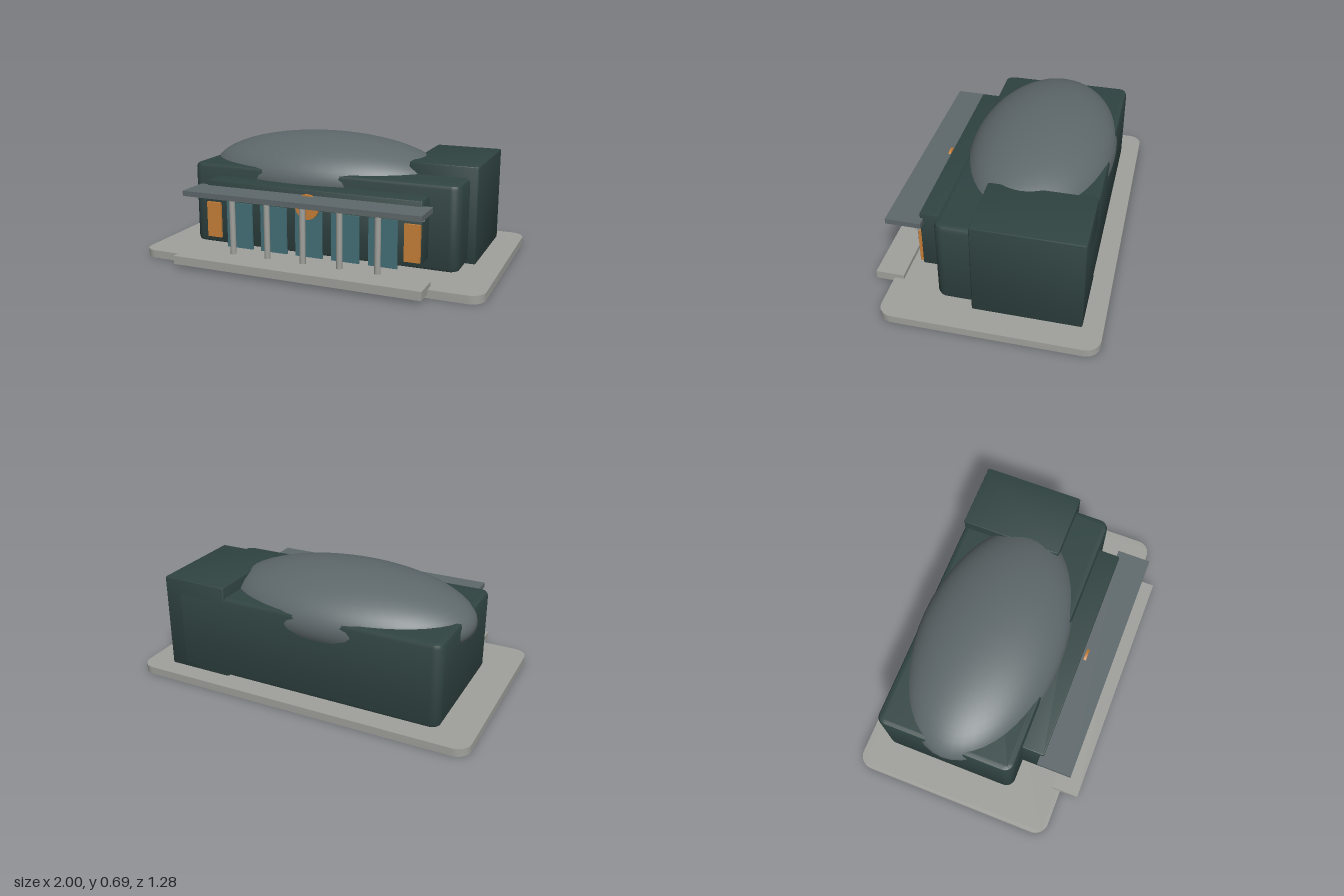
import * as THREE from 'three';
import { toCreasedNormals } from 'three/addons/utils/BufferGeometryUtils.js';

const material = (name, color) => {
  const m = new THREE.MeshStandardMaterial({ color });
  m.name = name;
  return m;
};

export function createModel() {
  const group = new THREE.Group();
  group.name = 'domedHall';
  const wall = material('dark green wall', 0x304442);
  const roof = material('slate roof', 0x5e686b);
  const stone = material('pale stone', 0xa0a09c);
  const glass = material('teal glass', 0x447078);
  const copper = material('orange copper', 0xc67f38);

  const add = (name, geometry, mat) => {
    const mesh = new THREE.Mesh(geometry, mat);
    mesh.name = name;
    group.add(mesh);
    return mesh;
  };

  // Box given by its extents on each axis
  const box = (name, mat, [x0, x1], [y0, y1], [z0, z1]) =>
    add(name, new THREE.BoxGeometry(x1 - x0, y1 - y0, z1 - z0), mat)
      .position.set((x0 + x1) / 2, (y0 + y1) / 2, (z0 + z1) / 2);

  // Block with rounded upright corners and optional bevelled top and bottom rims
  const block = (name, mat, [x0, x1], [y0, y1], [z0, z1], radius, bevel) => {
    const w = (x1 - x0) / 2 - bevel, d = (z1 - z0) / 2 - bevel, r = radius;
    const s = new THREE.Shape();
    s.absarc(w - r, d - r, r, 0, Math.PI / 2);
    s.absarc(r - w, d - r, r, Math.PI / 2, Math.PI);
    s.absarc(r - w, r - d, r, Math.PI, Math.PI * 1.5);
    s.absarc(w - r, r - d, r, Math.PI * 1.5, Math.PI * 2);
    const g = new THREE.ExtrudeGeometry(s, {
      depth: y1 - y0 - 2 * bevel, curveSegments: 4,
      bevelEnabled: bevel > 0, bevelSize: bevel, bevelThickness: bevel, bevelSegments: 2,
    });
    g.rotateX(-Math.PI / 2);
    add(name, toCreasedNormals(g, 0.5), mat)
      .position.set((x0 + x1) / 2, y0 + bevel, (z0 + z1) / 2);
  };

  // Ground slab and front step
  block('baseSlab', stone, [-1, 1], [0, 0.045], [-0.64, 0.535], 0.08, 0);
  box('frontStep', stone, [-0.72, 0.72], [0.022, 0.07], [0.48, 0.64]);

  // Hall, side tower and projecting front bay
  block('mainHall', wall, [-0.81, 0.805], [0.046, 0.525], [-0.53, 0.265], 0.03, 0.025);
  block('sideTower', wall, [0.46, 0.85], [0.04, 0.59], [-0.53, 0.06], 0.005, 0.006);
  block('frontBay', wall, [-0.64, 0.64], [0.115, 0.46], [0.15, 0.39], 0.004, 0.005);

  // Oval dome sunk into the roof
  const dome = add('dome', new THREE.SphereGeometry(1, 48, 28), roof);
  dome.scale.set(0.735, 0.235, 0.42);
  dome.position.set(-0.115, 0.46, -0.125);

  // Entrance canopy with the lintel behind it
  box('canopy', roof, [-0.69, 0.69], [0.4, 0.43], [0.37, 0.565]);
  box('lintel', stone, [-0.655, 0.655], [0.358, 0.385], [0.388, 0.415]);

  // Five bays, each with a window and a column
  for (let i = -2; i <= 2; i++) {
    const x = i * 0.215;
    box('window', glass, [x - 0.081, x + 0.081], [0.08, 0.345], [0.386, 0.398]);
    add('column', new THREE.CylinderGeometry(0.017, 0.017, 0.355, 16), stone)
      .position.set(x, 0.2225, 0.475);
  }

  // Copper end panels
  for (const side of [-1, 1]) {
    const x = side * 0.593;
    box('endPanel', copper, [x - 0.044, x + 0.044], [0.13, 0.335], [0.385, 0.405]);
  }

  // Round medallion over the entrance
  const medallion = add('medallion', new THREE.CylinderGeometry(0.07, 0.07, 0.015, 28), copper);
  medallion.rotation.x = Math.PI / 2;
  medallion.position.set(0, 0.37, 0.412);

  return group;
}
